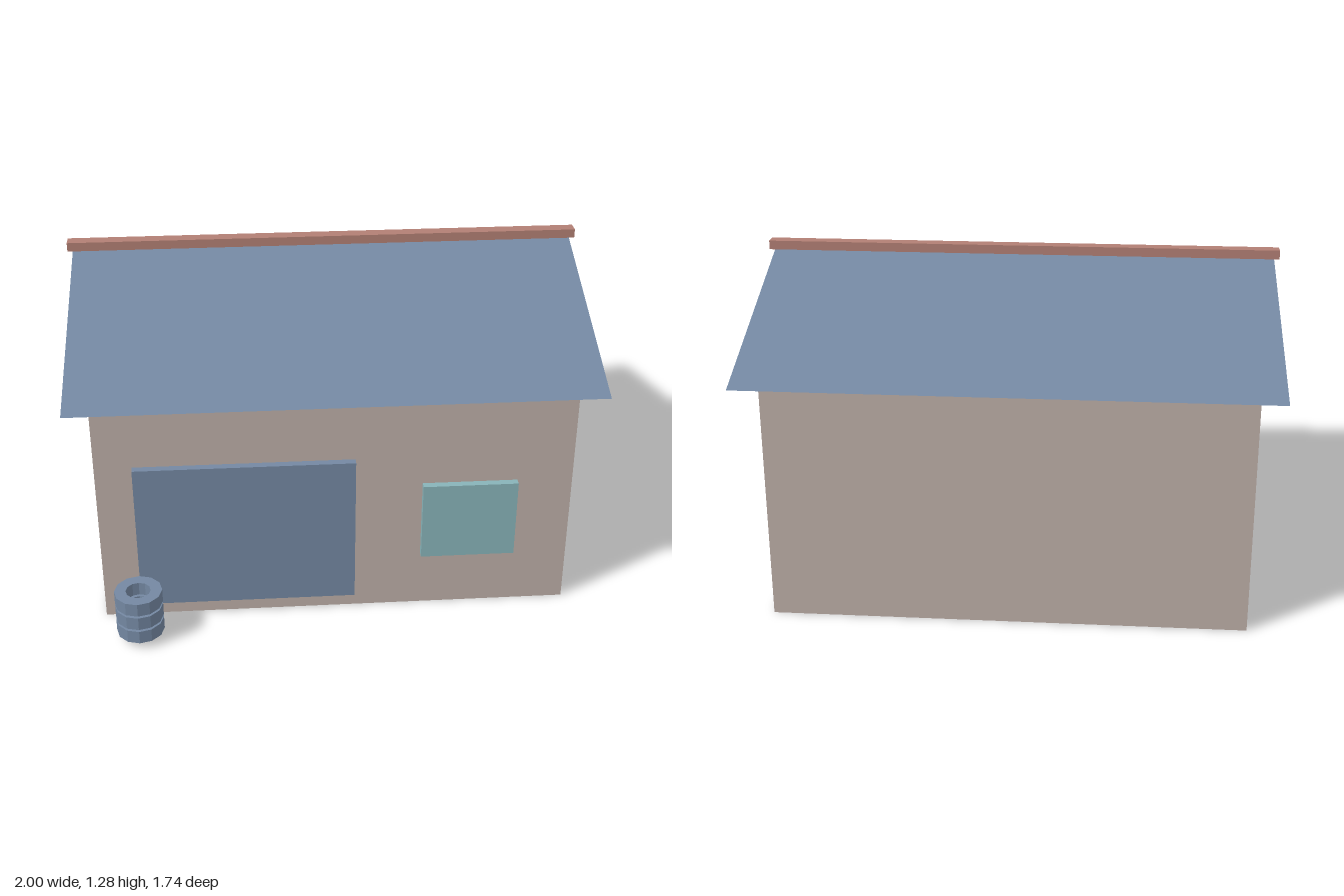
import * as THREE from 'three';

const paint = (name, color) => {
  const m = new THREE.MeshStandardMaterial({ color, flatShading: true });
  m.name = name;
  return m;
};

export function createModel() {
  const group = new THREE.Group();
  group.name = 'garage';
  const wall = paint('warm grey wall', 0xbcaea7);
  const slate = paint('slate blue', 0x7488a2);
  const glass = paint('teal glass', 0x88b3b8);
  const brick = paint('brick red', 0xb27f74);

  const add = (name, geometry, material) => {
    const mesh = new THREE.Mesh(geometry, material);
    mesh.name = name;
    group.add(mesh);
    return mesh;
  };
  // Box given by its lower and upper limits on each axis
  const box = (name, material, [x0, x1], [y0, y1], [z0, z1]) =>
    add(name, new THREE.BoxGeometry(x1 - x0, y1 - y0, z1 - z0), material)
      .position.set((x0 + x1) / 2, (y0 + y1) / 2, (z0 + z1) / 2);

  const ridgeZ = -0.057;
  box('walls', wall, [-0.895, 0.895], [0, 0.947], [-0.76, 0.646]);
  box('garageDoor', slate, [-0.755, 0.07], [0.065, 0.667], [0.64, 0.675]);
  box('window', glass, [0.325, 0.685], [0.233, 0.55], [0.64, 0.674]);
  box('ridgeBeam', brick, [-1, 1], [1.245, 1.28], [ridgeZ - 0.025, ridgeZ + 0.025]);

  // Roof prism: wall-coloured gables, slate slopes and underside
  const gable = new THREE.Shape();
  gable.moveTo(-0.81, 0.947);
  gable.lineTo(0.81, 0.947);
  gable.lineTo(0, 1.25);
  gable.closePath();
  const roof = new THREE.ExtrudeGeometry(gable, { depth: 1.96, bevelEnabled: false });
  roof.translate(0, 0, -0.98).rotateY(Math.PI / 2);
  add('roof', roof, [wall, slate]).position.z = ridgeZ;

  // Stack of three tyres beside the door
  const profile = [[0.047, 0], [0.09, 0], [0.09, 0.053], [0.047, 0.053], [0.047, 0]]
    .map(([r, y]) => new THREE.Vector2(r, y));
  const tyre = new THREE.LatheGeometry(profile, 12);
  for (let i = 0; i < 3; i++) {
    add(`tyre${i + 1}`, tyre, slate).position.set(-0.755, 0.03 + i * 0.0625, 0.778);
  }

  return group;
}
